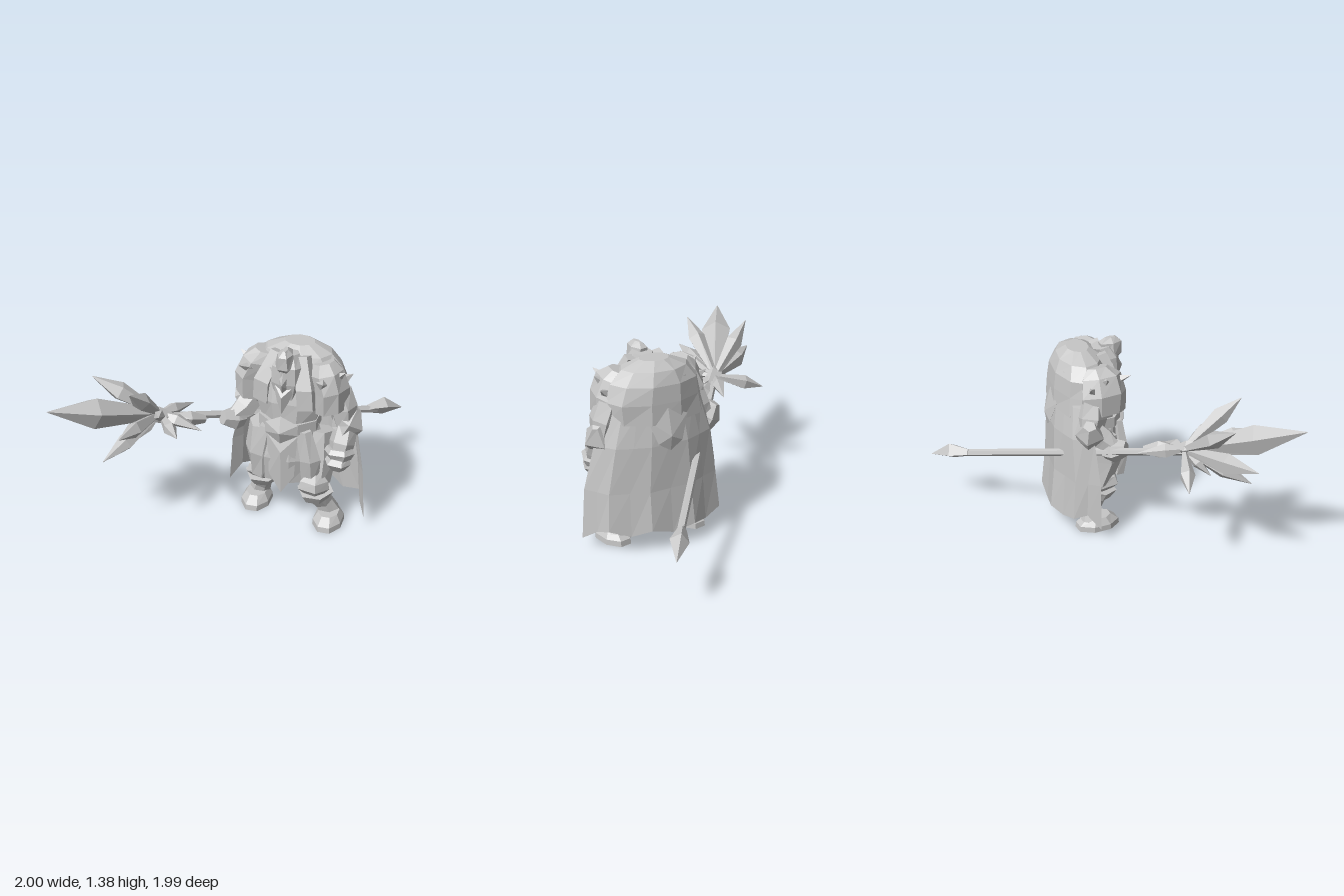
import * as THREE from 'three';

const stone = new THREE.MeshStandardMaterial({ color: 0xc6c6c6 });
stone.name = 'stone grey';
const stoneCloth = new THREE.MeshStandardMaterial({ color: 0xc6c6c6, side: THREE.DoubleSide });
stoneCloth.name = 'stone grey cloth';

const V = (p) => new THREE.Vector3(...p);

// small repeatable noise for chiselled facets
let seed = 7;
const noise = () => ((seed = (seed * 16807) % 2147483647) / 2147483647) * 2 - 1;

function facetMesh(name, tris, material = stone) {
  const g = new THREE.BufferGeometry().setFromPoints(tris);
  g.computeVertexNormals();
  const m = new THREE.Mesh(g, material);
  m.name = name;
  return m;
}

function skin(rings, closed) {
  const out = [];
  for (let r = 0; r < rings.length - 1; r++) {
    const a = rings[r], b = rings[r + 1], n = a.length;
    for (let i = 0; i < (closed ? n : n - 1); i++) {
      const j = (i + 1) % n;
      out.push(a[i], a[j], b[j], a[i], b[j], b[i]);
    }
  }
  return out;
}

// faceted solid through sections [x, y, z, radiusU, radiusV]
function solid(name, sections, sides = 6, rough = 0, turn = 0) {
  const centres = sections.map((s) => V(s.slice(0, 3)));
  const d = centres.at(-1).clone().sub(centres[0]).normalize();
  const ref = Math.abs(d.x) > 0.9 ? V([0, 0, 1]) : V([1, 0, 0]);
  const u = ref.addScaledVector(d, -ref.dot(d)).normalize();
  const v = d.clone().cross(u);
  const rings = sections.map(([, , , ru, rv = ru], k) =>
    Array.from({ length: sides }, (_, i) => {
      const t = ((i + turn) / sides) * Math.PI * 2, f = 1 + rough * noise();
      return centres[k].clone().addScaledVector(u, ru * f * Math.cos(t)).addScaledVector(v, rv * f * Math.sin(t));
    }));
  const tris = skin(rings, true);
  const n = centres.length - 1;
  for (let i = 0; i < sides; i++) {
    const j = (i + 1) % sides;
    tris.push(centres[0], rings[0][j], rings[0][i], centres[n], rings[n][i], rings[n][j]);
  }
  return facetMesh(name, tris);
}

// pointed shard, widest at fraction w
function shard(name, a, b, radius, w = 0.55, sides = 5) {
  const m = V(a).lerp(V(b), w).toArray();
  return solid(name, [[...a, radius * 0.3], [...m, radius], [...b, 0.002]], sides, 0.12);
}

// ridged plate: rim corners joined to a front peak and a back point
function ridge(name, rim, peak, back) {
  const tris = [];
  rim.forEach((p, i) => {
    const q = rim[(i + 1) % rim.length];
    tris.push(V(p), V(q), V(peak), V(q), V(p), V(back));
  });
  return facetMesh(name, tris);
}

export function createModel() {
  const model = new THREE.Group();
  model.name = 'hooded staff bearer';
  const add = (...m) => model.add(...m);

  // staff shaft and rear spike
  const staff = new THREE.Group();
  staff.name = 'staff';
  staff.add(
    solid('shaft', [[0.84, 0.44, -0.83, 0.027], [-0.48, 0.83, 0.4, 0.027]], 6),
    solid('rearSpike', [[0.78, 0.46, -0.78, 0.03], [0.88, 0.45, -0.88, 0.065], [1, 0.39, -1, 0.002]], 4),
    solid('staffCollar', [[-0.18, 0.745, 0.19, 0.025], [-0.27, 0.78, 0.27, 0.06], [-0.36, 0.8, 0.33, 0.035],
      [-0.46, 0.84, 0.39, 0.06], [-0.56, 0.88, 0.47, 0.03]], 5, 0.2));
  // crystals fan out from the head: tip, radius, widest fraction
  const root = [-0.45, 0.84, 0.36];
  [[[-1, 1.1, 0.99], 0.115, 0.6], [[-1, 0.87, 0.63], 0.07, 0.6], [[-0.875, 1.14, 0.51], 0.07, 0.6],
    [[-0.51, 1.18, 0.76], 0.065, 0.65], [[-0.54, 0.915, 0.9], 0.06, 0.65], [[-0.73, 0.62, 0.745], 0.06, 0.6],
    [[-0.8, 0.71, 0.22], 0.05, 0.6], [[-0.35, 0.98, 0.65], 0.04, 0.6], [[-0.22, 0.85, 0.67], 0.045, 0.6],
    [[-0.3, 0.8, 0.08], 0.05, 0.4], [[-0.15, 0.75, 0.36], 0.05, 0.4], [[-0.59, 0.67, 0.5], 0.04, 0.5]]
    .forEach(([tip, r, w]) => staff.add(shard('crystal', root, tip, r, w)));
  add(staff);

  // torso, belt and skirt
  add(solid('torso', [[0.4, 0.6, 0.05, 0.22, 0.18], [0.4, 0.78, 0.06, 0.2, 0.17], [0.4, 0.96, 0.06, 0.25, 0.18],
    [0.4, 1.2, 0.02, 0.28, 0.16]], 8, 0.04, 0.5));
  add(solid('belt', [[0.4, 0.75, 0.06, 0.22, 0.2], [0.4, 0.83, 0.06, 0.22, 0.2]], 8, 0, 0.5));
  add(solid('skirt', [[0.4, 0.36, 0.05, 0.25, 0.18], [0.4, 0.55, 0.06, 0.25, 0.2], [0.4, 0.77, 0.06, 0.2, 0.18]], 9, 0.07));
  add(ridge('buckle', [[0.27, 0.83, 0.24], [0.27, 0.75, 0.24], [0.38, 0.66, 0.25], [0.5, 0.75, 0.24], [0.5, 0.83, 0.24],
    [0.38, 0.89, 0.25]], [0.385, 0.78, 0.3], [0.385, 0.78, 0.2]));
  add(ridge('tabard', [[0.28, 0.74, 0.24], [0.3, 0.42, 0.24], [0.39, 0.28, 0.25], [0.48, 0.42, 0.24], [0.5, 0.74, 0.24]],
    [0.39, 0.62, 0.28], [0.39, 0.6, 0.18]));
  [-1, 1].forEach((s) => add(solid('skirtPanel', [[0.4 + s * 0.18, 0.36, 0.17, 0.07, 0.05],
    [0.4 + s * 0.17, 0.55, 0.2, 0.08, 0.05], [0.4 + s * 0.13, 0.77, 0.19, 0.06, 0.04]], 5, 0.1)));

  // legs: knee x, foot x, foot z
  [['right', 0.2, 0.14, -0.03], ['left', 0.61, 0.705, 0.095]].forEach(([side, kx, x, z]) => {
    const leg = new THREE.Group();
    leg.name = side + 'Leg';
    leg.add(
      solid('thigh', [[kx, 0.34, z + 0.02, 0.11], [kx, 0.52, 0.06, 0.13], [kx, 0.72, 0.04, 0.1]], 6, 0.08),
      solid('kneeGuard', [[kx, 0.28, z + 0.08, 0.08], [kx, 0.32, z + 0.08, 0.115], [kx, 0.38, z + 0.08, 0.1],
        [kx, 0.43, z + 0.06, 0.05]], 5, 0.08),
      solid('kneeBand', [[kx, 0.21, z + 0.03, 0.09], [kx, 0.28, z + 0.04, 0.13]], 6, 0.04),
      solid('shin', [[x, 0.04, z - 0.06, 0.08], [(x + kx) / 2, 0.15, z - 0.03, 0.07], [kx, 0.26, z + 0.02, 0.09]], 6, 0.06),
      solid('foot', [[x, 0, z, 0.11, 0.17], [x, 0.04, z, 0.108, 0.165], [x, 0.09, z, 0.075, 0.1]], 8, 0, 0.5));
    add(leg);
  });

  // left arm hangs down with a heavy gauntlet
  const leftArm = new THREE.Group();
  leftArm.name = 'leftArm';
  leftArm.add(
    solid('upperArm', [[0.72, 1.06, 0.05, 0.1], [0.77, 0.93, 0.06, 0.11], [0.8, 0.78, 0.07, 0.08]], 6, 0.08),
    solid('elbowGuard', [[0.77, 0.75, 0.09, 0.09], [0.81, 0.83, 0.07, 0.115], [0.86, 0.92, 0.03, 0.03]], 5, 0.1),
    solid('forearm', [[0.8, 0.8, 0.08, 0.08], [0.79, 0.69, 0.13, 0.09], [0.78, 0.61, 0.15, 0.08]], 6, 0.06),
    solid('cuff', [[0.78, 0.66, 0.15, 0.09], [0.78, 0.63, 0.16, 0.11], [0.78, 0.58, 0.165, 0.08]], 6, 0.05),
    solid('fist', [[0.78, 0.61, 0.17, 0.07], [0.77, 0.56, 0.18, 0.095], [0.77, 0.5, 0.18, 0.05]], 6, 0.08));
  add(leftArm);

  // right arm bends forward to grip the staff
  const rightArm = new THREE.Group();
  rightArm.name = 'rightArm';
  rightArm.add(
    solid('upperArm', [[0.14, 1.06, -0.06, 0.1], [0.11, 0.92, -0.09, 0.11], [0.08, 0.82, -0.11, 0.09]], 6, 0.08),
    solid('elbowGuard', [[0.08, 0.76, -0.11, 0.09], [0.04, 0.84, -0.13, 0.105], [-0.01, 0.92, -0.15, 0.045]], 5, 0.1),
    solid('forearm', [[0.09, 0.83, -0.1, 0.09], [0.04, 0.76, -0.02, 0.085], [-0.02, 0.71, 0.04, 0.055]], 6, 0.08),
    solid('fist', [[0.03, 0.68, -0.02, 0.06], [-0.02, 0.69, 0.03, 0.085], [-0.08, 0.72, 0.1, 0.05]], 6, 0.08));
  add(rightArm);

  // cape wraps the back, turned with the shoulders: sections [y, centreZ, radiusX, radiusZ]
  const hem = [0.08, 0.15, 0.18, 0.13, 0.17, 0.12, 0.15, 0.13, 0.17, 0.2, 0.1];
  const cape = [[0.14, 0, 0.51, 0.31], [0.45, 0, 0.49, 0.28], [0.78, -0.03, 0.43, 0.24], [1, -0.03, 0.36, 0.21], [1.22, -0.05, 0.26, 0.17]]
    .map(([y, cz, rx, rz], k) => hem.map((h, i) => {
      const t = (i / 10 - 0.02) * Math.PI;
      const fold = 1 + (i % 2 ? -0.05 : 0.03) * (1 - k / 4);
      const x = rx * fold * Math.cos(t);
      return V([0.435 + x, k ? y : h, cz + 0.15 * x - rz * fold * Math.sin(t)]);
    }));
  add(facetMesh('cape', skin(cape, false), stoneCloth));

  // shoulders turn slightly so the right one sits further back
  const shoulders = new THREE.Group();
  shoulders.name = 'shoulders';
  shoulders.position.x = 0.42;
  shoulders.rotation.y = -0.18;
  // rounded mantle with a hanging tail
  shoulders.add(solid('mantle', [[0.01, 0.93, -0.055, 0.36, 0.21], [0.01, 1.07, -0.05, 0.36, 0.21], [0, 1.19, -0.045, 0.32, 0.195],
    [0, 1.28, -0.045, 0.25, 0.16], [0, 1.335, -0.05, 0.11, 0.08]], 10, 0.035));
  shoulders.add(ridge('mantleTail', [[-0.15, 0.97, -0.24], [0, 1.04, -0.25], [0.15, 0.97, -0.24], [0.09, 0.8, -0.28], [0, 0.74, -0.28],
    [-0.09, 0.8, -0.28]], [0, 0.85, -0.3], [0, 0.9, -0.2]));
  // shoulder guards with small spikes, and collar panels
  [-1, 1].forEach((s) => {
    shoulders.add(solid('shoulderGuard', [[s * 0.3, 0.93, 0.06, 0.11, 0.16], [s * 0.3, 1.08, 0.06, 0.11, 0.17],
      [s * 0.25, 1.2, 0.05, 0.11, 0.15], [s * 0.22, 1.26, 0.03, 0.07, 0.09]], 7, 0.06, 0.3));
    [[0.28, 1.14, 0.06, 0.39, 1.23, 0.07], [0.24, 1.14, 0.12, 0.31, 1.21, 0.26], [0.3, 1.1, 0, 0.4, 1.17, -0.05]]
      .forEach(([a, b, c, d, e, f]) => shoulders.add(shard('shoulderSpike', [s * a, b, c], [s * d, e, f], 0.04, 0.45, 4)));
    shoulders.add(solid('collarPanel', [[s * 0.17, 0.95, 0.2, 0.08, 0.03], [s * 0.16, 1.1, 0.2, 0.08, 0.035],
      [s * 0.09, 1.3, 0.1, 0.065, 0.05]], 4, 0.05, 0.5));
  });
  add(shoulders);

  // head, brow crest, face and beard
  add(solid('head', [[0.4, 1, 0.16, 0.08, 0.07], [0.4, 1.12, 0.17, 0.11, 0.08], [0.4, 1.24, 0.16, 0.11, 0.09],
    [0.4, 1.32, 0.12, 0.07, 0.08]], 7, 0.05));
  add(solid('crest', [[0.39, 1.21, 0.19, 0.035, 0.05], [0.39, 1.25, 0.19, 0.07, 0.085], [0.39, 1.34, 0.19, 0.055, 0.09],
    [0.39, 1.375, 0.19, 0.015, 0.045]], 6, 0.05));
  add(ridge('nose', [[0.35, 1.2, 0.22], [0.36, 1.1, 0.23], [0.39, 1.05, 0.25], [0.42, 1.1, 0.23], [0.43, 1.2, 0.22], [0.39, 1.27, 0.22]],
    [0.39, 1.14, 0.285], [0.39, 1.15, 0.18]));
  add(ridge('beard', [[0.31, 1.13, 0.2], [0.35, 1, 0.24], [0.39, 0.92, 0.27], [0.43, 1, 0.24], [0.48, 1.13, 0.2]],
    [0.39, 1.05, 0.285], [0.39, 1.06, 0.16]));
  return model;
}
